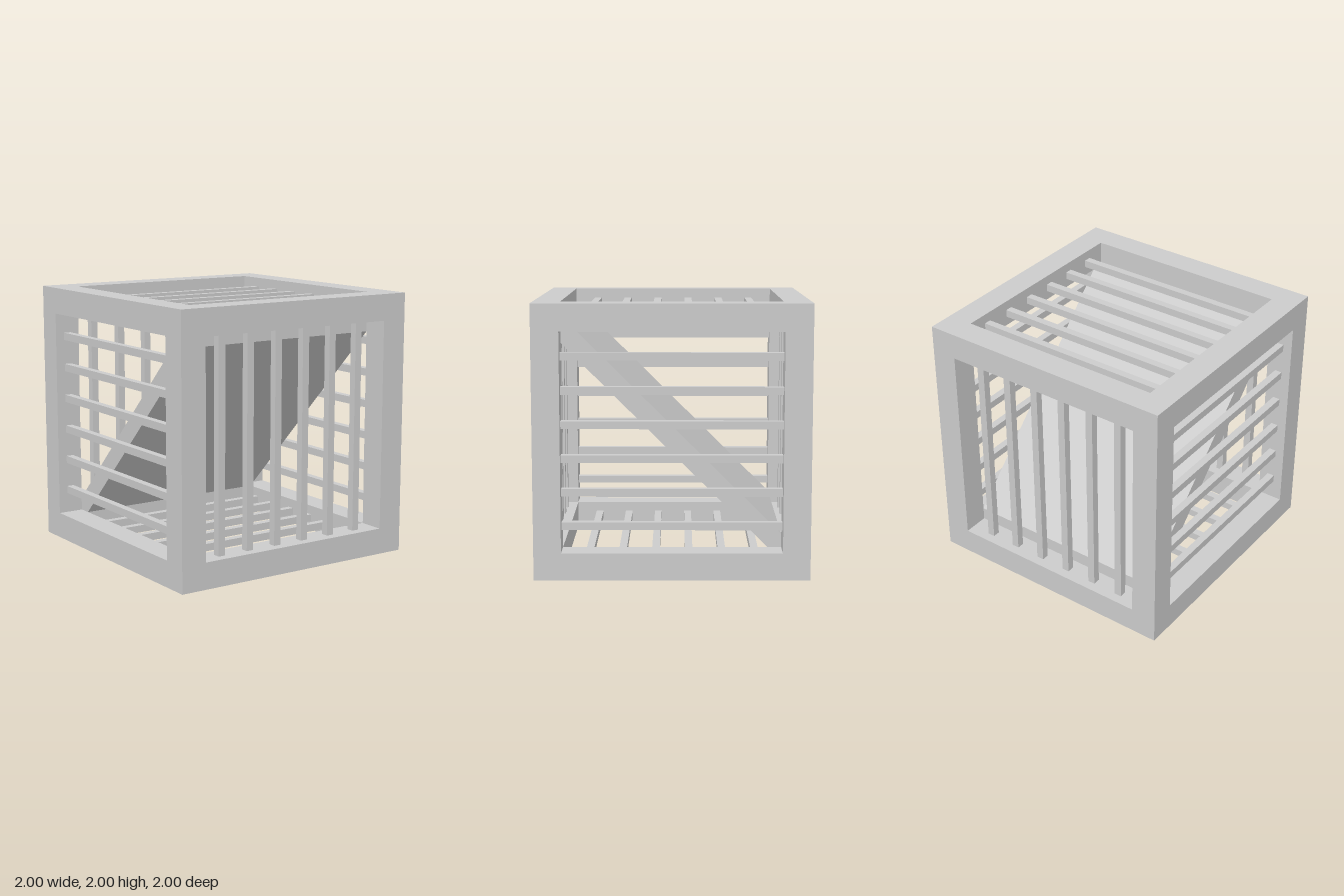
import * as THREE from 'three';

const OUTER = 2, BEAM = 0.2, INNER = OUTER - 2 * BEAM;
const BAR = 0.057, PITCH = 0.2465, BAR_COUNT = 6;

export function createModel() {
  const grey = new THREE.MeshStandardMaterial({ color: 0xcccccc });
  grey.name = 'light grey';

  const model = new THREE.Group();
  model.name = 'barredCrate';

  function add(parent, name, geometry, x = 0, y = 0, z = 0) {
    const mesh = new THREE.Mesh(geometry, grey);
    mesh.name = name;
    mesh.position.set(x, y, z);
    parent.add(mesh);
    return mesh;
  }

  function group(name) {
    const g = new THREE.Group();
    g.name = name;
    g.position.y = OUTER / 2;
    model.add(g);
    return g;
  }

  function square(Type, size) {
    const h = size / 2;
    return new Type([[-h, -h], [h, -h], [h, h], [-h, h]].map(p => new THREE.Vector2(...p)));
  }

  // Frame: square rings at front and back, joined by four beams
  const frame = group('frame');
  const ringShape = square(THREE.Shape, OUTER);
  ringShape.holes.push(square(THREE.Path, INNER));
  const ring = new THREE.ExtrudeGeometry(ringShape, { depth: BEAM, bevelEnabled: false });
  add(frame, 'frontRing', ring, 0, 0, INNER / 2);
  add(frame, 'backRing', ring, 0, 0, -OUTER / 2);

  const mid = (OUTER - BEAM) / 2; // centre line of the beams
  const beam = new THREE.BoxGeometry(BEAM, BEAM, INNER);
  for (const sx of [-1, 1]) {
    for (const sy of [-1, 1]) add(frame, 'sideBeam', beam, sx * mid, sy * mid, 0);
  }

  // Bars: vertical at front and back, lengthwise at the sides, crosswise above and below
  const upright = new THREE.BoxGeometry(BAR, INNER, BAR);
  const lengthwise = new THREE.BoxGeometry(BAR, BAR, INNER);
  const crosswise = new THREE.BoxGeometry(INNER, BAR, BAR);
  const bars = group('bars');
  for (let i = 0; i < BAR_COUNT; i++) {
    const t = (i - (BAR_COUNT - 1) / 2) * PITCH;
    for (const s of [-1, 1]) {
      add(bars, s > 0 ? 'frontBar' : 'backBar', upright, t, 0, s * mid);
      add(bars, s > 0 ? 'leftBar' : 'rightBar', lengthwise, s * mid, t, 0);
      add(bars, s > 0 ? 'topBar' : 'bottomBar', crosswise, 0, s * mid, t);
    }
  }

  // Sloping panel from the top front edge to the bottom back edge, cut to fit the corners
  const h = INNER / 2, c = h - 0.1;
  const profile = new THREE.Shape(
    [[-h, -h], [-c, -h], [h, c], [h, h], [c, h], [-h, -c]].map(p => new THREE.Vector2(...p))
  );
  const panel = new THREE.ExtrudeGeometry(profile, { depth: INNER, bevelEnabled: false });
  panel.translate(0, 0, -INNER / 2).rotateY(-Math.PI / 2);
  add(model, 'diagonalPanel', panel, 0, OUTER / 2, 0);

  return model;
}
